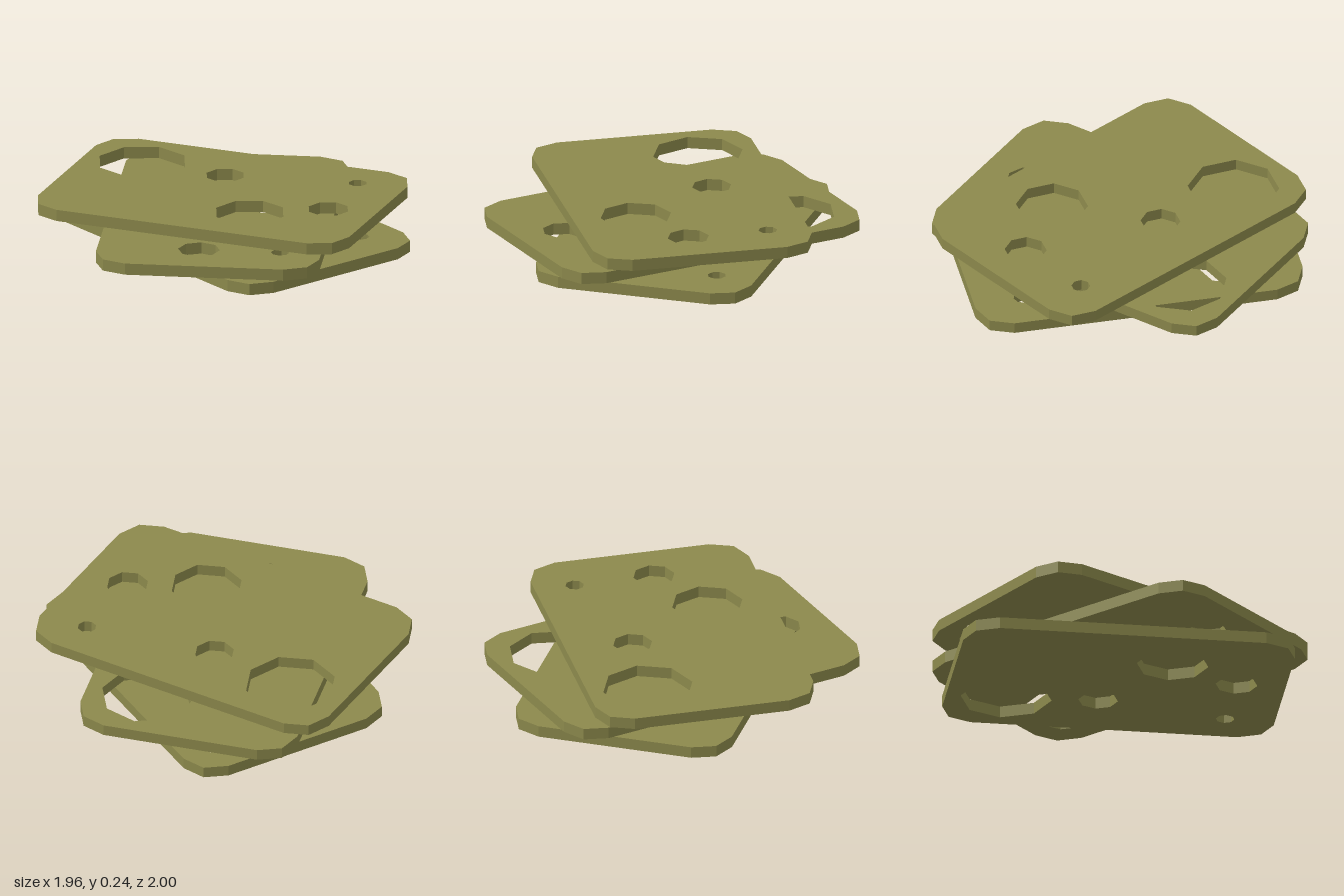
import * as THREE from 'three';

const HALF_W = 0.598, HALF_L = 0.89, CORNER = 0.175, THICK = 0.063;

// Holes in plate coordinates: [x, z, radius]
const HOLES = [
  [0.273, -0.567, 0.244],
  [-0.257, 0.256, 0.192],
  [0.235, -0.078, 0.106],
  [-0.056, 0.626, 0.112],
  [0.379, 0.623, 0.05],
];

// Points on an arc, from angle a, in steps of 45 degrees
function arc(cx, cy, r, a, count) {
  return Array.from({ length: count }, (_, i) => {
    const t = a + (i * Math.PI) / 4;
    return new THREE.Vector2(cx + r * Math.cos(t), cy + r * Math.sin(t));
  });
}

// Flat plate with faceted corners and octagonal holes, lying on y = 0
function plateGeometry() {
  const outline = [];
  [[1, 1], [-1, 1], [-1, -1], [1, -1]].forEach(([sx, sy], i) => {
    outline.push(...arc(sx * (HALF_W - CORNER), sy * (HALF_L - CORNER), CORNER, (i * Math.PI) / 2, 3));
  });
  const shape = new THREE.Shape(outline);
  for (const [x, z, r] of HOLES) shape.holes.push(new THREE.Path(arc(x, z, r, 0, 8)));
  const geometry = new THREE.ExtrudeGeometry(shape, { depth: THICK, bevelEnabled: false });
  geometry.rotateX(Math.PI / 2);
  geometry.translate(0, THICK, 0);
  return geometry;
}

export function createModel() {
  const group = new THREE.Group();
  group.name = 'stackedPlates';
  const geometry = plateGeometry();
  const material = new THREE.MeshStandardMaterial({ color: 0x8c894c, flatShading: true });

  // Three identical plates, each turned a different way: name, x, y, turn in degrees
  const plates = [
    ['bottomPlate', 0.06, 0, 0],
    ['middlePlate', 0, 0.072, -45],
    ['topPlate', 0, 0.18, 30],
  ];
  for (const [name, x, y, turn] of plates) {
    const plate = new THREE.Mesh(geometry, material);
    plate.name = name;
    plate.position.set(x, y, 0);
    plate.rotation.y = THREE.MathUtils.degToRad(turn);
    group.add(plate);
  }
  return group;
}
